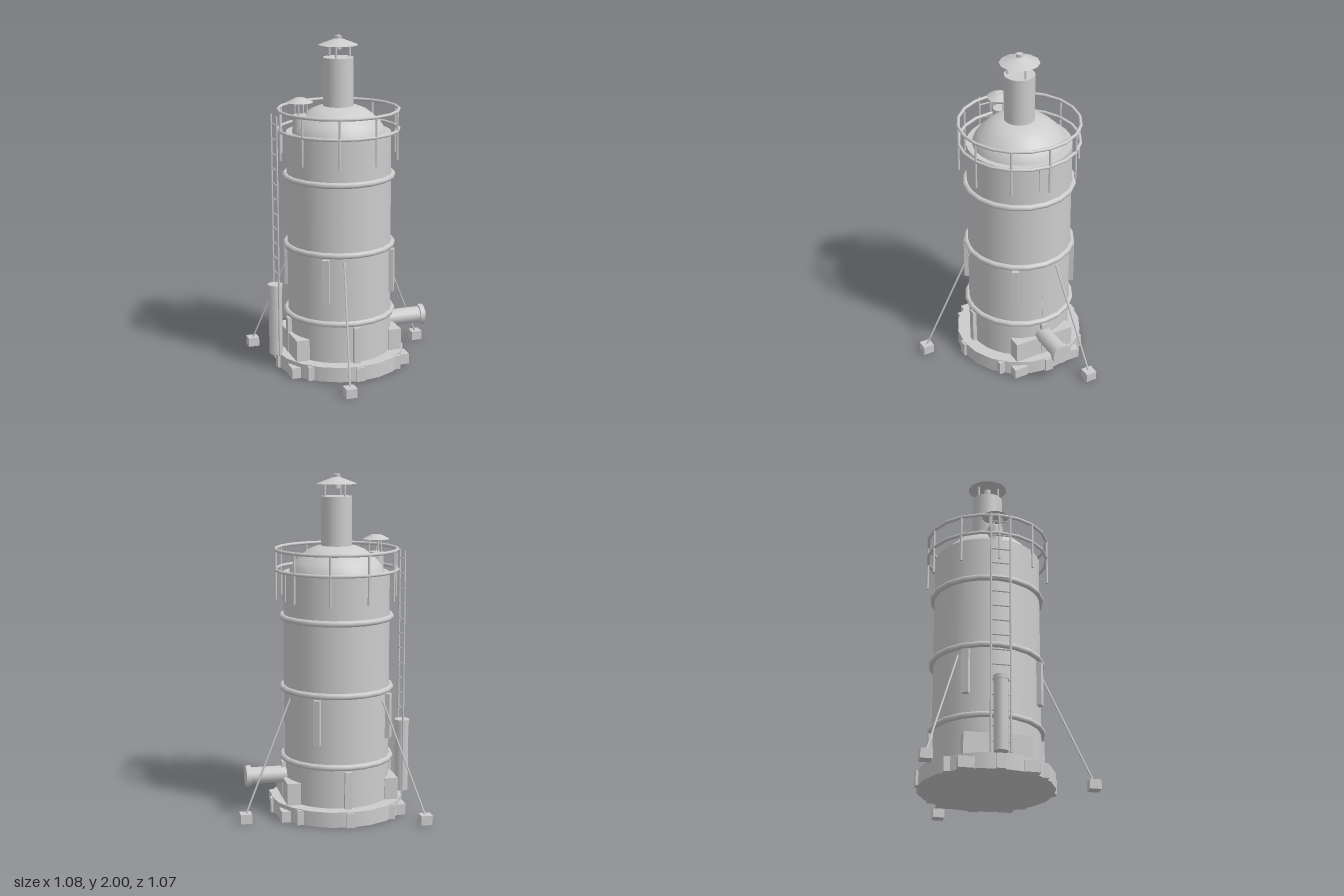
import * as THREE from 'three';

export function createModel() {
  const model = new THREE.Group();
  const steel = new THREE.MeshStandardMaterial({ color: 0xcccccc });
  steel.name = 'lightGreySteel';

  // Everything is laid out around the tower's own axis
  const tower = new THREE.Group();
  tower.name = 'tower';
  tower.position.set(-0.07, 0, -0.09);
  model.add(tower);

  function add(name, geometry, x = 0, y = 0, z = 0, parent = tower) {
    const mesh = new THREE.Mesh(geometry, steel);
    mesh.name = name;
    mesh.position.set(x, y, z);
    parent.add(mesh);
    return mesh;
  }
  // Upright cylinder or cone between two heights
  const drum = (name, rTop, rBottom, y0, y1, sides, x = 0, z = 0) =>
    add(name, new THREE.CylinderGeometry(rTop, rBottom, y1 - y0, sides), x, (y0 + y1) / 2, z);
  // Box standing between two heights
  const block = (name, w, d, y0, y1, x, z) =>
    add(name, new THREE.BoxGeometry(w, y1 - y0, d), x, (y0 + y1) / 2, z);
  // Round bar between two points
  function bar(name, a, b, r) {
    const from = new THREE.Vector3(...a), to = new THREE.Vector3(...b);
    const dir = to.clone().sub(from);
    const mesh = add(name, new THREE.CylinderGeometry(r, r, dir.length(), 6));
    mesh.position.copy(from).add(to).multiplyScalar(0.5);
    mesh.quaternion.setFromUnitVectors(new THREE.Vector3(0, 1, 0), dir.normalize());
  }
  function ring(name, radius, tube, y) {
    add(name, new THREE.TorusGeometry(radius, tube, 8, 20), 0, y, 0).rotation.x = Math.PI / 2;
  }
  const polar = (deg, r) => {
    const a = THREE.MathUtils.degToRad(deg);
    return [r * Math.cos(a), r * Math.sin(a)];
  };

  // Foundation with rim blocks and pads
  drum('foundation', 0.391, 0.391, 0, 0.09, 20);
  for (let i = 0; i < 8; i++) {
    const [x, z] = polar(i * 45, 0.375);
    block('rimBlock', 0.052, 0.052, 0, 0.085, x, z);
  }
  for (const sx of [-1, 1]) {
    for (const sz of [-1, 1]) block('footPad', 0.09, 0.09, 0, 0.065, sx * 0.328, sz * 0.182);
    block('sidePlate', 0.08, 0.386, 0.09, 0.22, sx * 0.292, 0);
  }

  // Shell and domed roof
  drum('shell', 0.312, 0.312, 0.08, 1.434, 32);
  const dome = [[0.278, 1.43], [0.268, 1.462], [0.245, 1.496], [0.205, 1.535], [0.165, 1.565], [0.12, 1.583], [0.08, 1.59]];
  add('roofDome', new THREE.LatheGeometry(dome.map(p => new THREE.Vector2(...p)), 32));

  // Hoops, lower fins and mid-height ribs
  for (const y of [0.335, 0.755, 1.175]) ring('hoop', 0.321, 0.018, y);
  for (let i = 0; i < 4; i++) {
    const [fx, fz] = polar(i * 90, 0.315);
    block('lowerFin', 0.04, 0.04, 0.09, 0.31, fx, fz);
    const [rx, rz] = polar(32.3 + i * 90, 0.319);
    block('shellRib', 0.04, 0.04, 0.465, 0.73, rx, rz).rotation.y = -THREE.MathUtils.degToRad(32.3 + i * 90);
  }
  block('hatch', 0.02, 0.08, 1.27, 1.43, 0.304, 0);
  block('gaugeStrip', 0.02, 0.015, 0.36, 0.53, 0.305, 0);

  // Guard rail
  for (const y of [1.45, 1.567]) ring('guardRail', 0.358, 0.01, y);
  for (let i = 0; i < 10; i++) {
    const [x, z] = polar(i * 36, 0.36);
    drum('railPost', 0.007, 0.007, 1.28, 1.57, 8, x, z);
  }

  // Chimney with a rain cap on three posts
  drum('chimney', 0.09, 0.09, 1.55, 1.873, 24);
  for (let i = 0; i < 3; i++) {
    const [x, z] = polar(i * 120, 0.07);
    drum('capPost', 0.007, 0.007, 1.86, 1.96, 6, x, z);
  }
  drum('chimneyCap', 0.02, 0.118, 1.945, 1.982, 12);
  drum('capKnob', 0.021, 0.021, 1.975, 2.0, 8);
  drum('capBoss', 0.021, 0.021, 1.918, 1.95, 8);

  // Small roof vent
  const ventX = -0.237;
  drum('vent', 0.046, 0.046, 1.42, 1.545, 12, ventX);
  for (let i = 0; i < 3; i++) {
    const [x, z] = polar(i * 120, 0.042);
    drum('ventPost', 0.005, 0.005, 1.53, 1.628, 6, ventX + x, z);
  }
  drum('ventCap', 0.03, 0.079, 1.62, 1.645, 12, ventX);

  // Side pipe with end flange
  const pipe = (name, r, x0, x1) => {
    add(name, new THREE.CylinderGeometry(r, r, x1 - x0, 12), (x0 + x1) / 2, 0.228, 0).rotation.z = -Math.PI / 2;
  };
  pipe('sidePipe', 0.051, 0.28, 0.53);
  pipe('pipeFlange', 0.064, 0.52, 0.55);

  // Side tank
  drum('sideTank', 0.042, 0.042, 0.09, 0.51, 8, -0.405);
  drum('tankLid', 0.047, 0.047, 0.5, 0.527, 8, -0.405);

  // Ladder
  for (const z of [-0.056, 0.056]) bar('ladderRail', [-0.398, 0.09, z], [-0.398, 1.553, z], 0.006);
  for (let i = 0; i < 16; i++) {
    const y = 0.15 + i * 0.09;
    bar('ladderRung', [-0.398, y, -0.056], [-0.398, y, 0.056], 0.005);
  }

  // Guy rods and their anchor blocks
  for (const deg of [103, -17, -137]) {
    const [tx, tz] = polar(deg, 0.303);
    const [ax, az] = polar(deg, 0.603);
    bar('guyRod', [tx, 0.72, tz], [ax, 0.045, az], 0.006);
    block('anchorBlock', 0.067, 0.067, 0, 0.056, ax, az);
  }
  return model;
}
